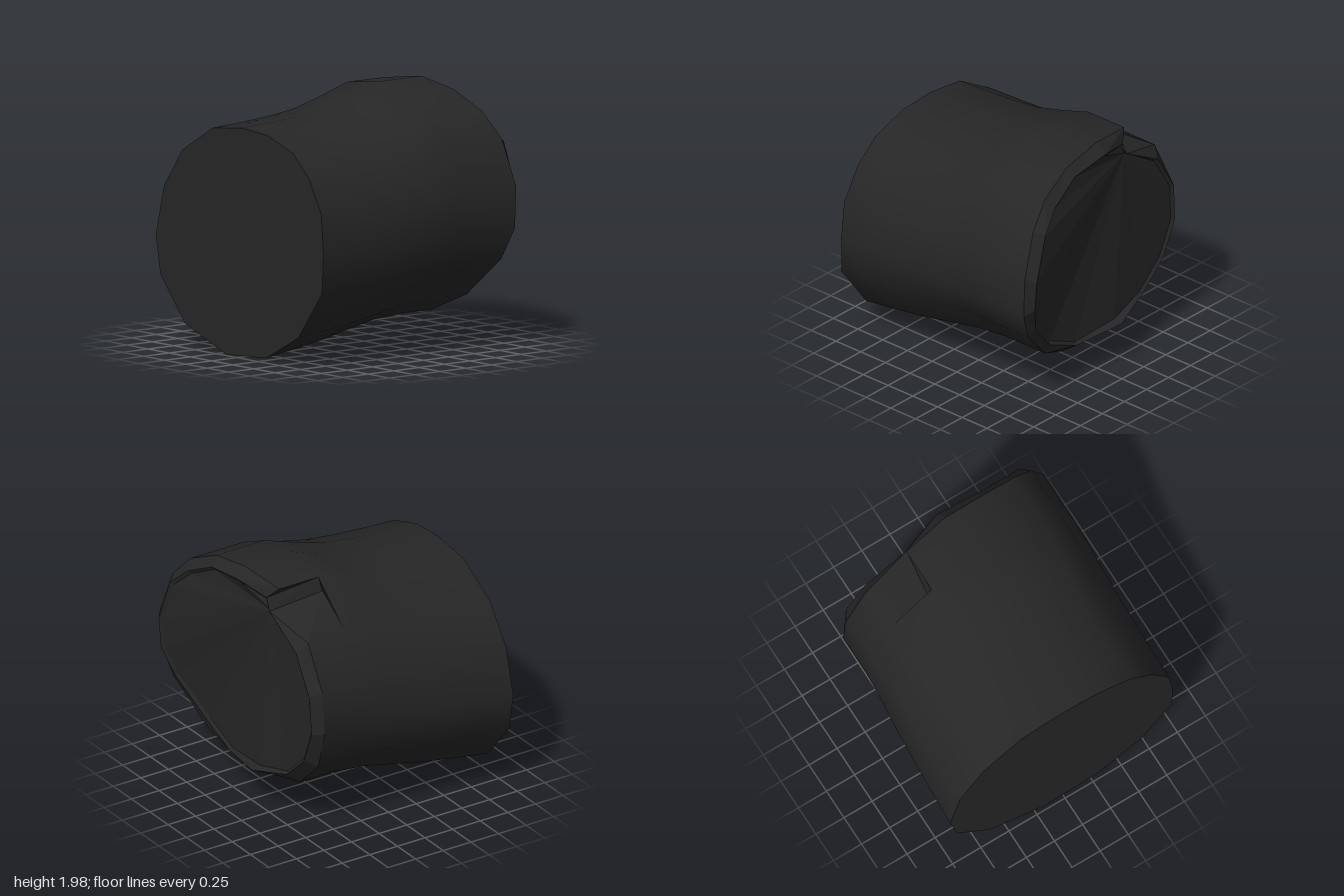
import * as THREE from 'three';

// Cross-sections run from the front (+z) over the top, as [x, y, z]
const leftEnd = [
  [-.96, 1.2, .95], [-.955, 1.46, .8], [-.95, 1.63, .6], [-.95, 1.73, .3],
  [-.95, 1.75, 0], [-.95, 1.71, -.35], [-.955, 1.5, -.7], [-.96, 1.2, -.91],
  [-.965, .82, -1], [-.97, .52, -.94], [-.97, .18, -.65], [-.97, 0, -.16],
  [-.97, .03, .31], [-.97, .23, .69], [-.97, .6, .97], [-.965, .9, .98],
];
const rightEnd = [
  [.91, 1.24, 1], [.88, 1.59, .87], [.84, 1.78, .69], [.8, 1.92, .4],
  [.78, 1.98, .04], [.72, 1.93, -.34], [.7, 1.62, -.71], [.69, 1.27, -.89],
  [.69, .93, -.92], [.67, .6, -.8], [.66, .35, -.53], [.66, .26, -.17],
  [.66, .24, .31], [.76, .38, .6], [.85, .68, .9], [.9, .92, 1],
];
const rim = [
  [.97, 1.2, .93], [.95, 1.55, .81], [.9, 1.71, .64], [.86, 1.85, .37],
  [.86, 1.9, .02], [.78, 1.84, -.26], [.78, 1.54, -.66], [.78, 1.24, -.84],
  [.77, .93, -.86], [.76, .65, -.74], [.76, .43, -.5], [.85, .35, -.17],
  [.77, .31, .26], [.78, .45, .57], [.88, .73, .84], [.95, .95, .93],
];
const N = rightEnd.length;
const GAP = 5; // side that is broken open by the notch
const crackFoot = [.35, 1.82, -.37];
const notchFoot = [.78, 1.74, -.3];

function build(points, faces, flat) {
  let geometry = new THREE.BufferGeometry();
  geometry.setAttribute('position', new THREE.Float32BufferAttribute(points.flat(), 3));
  geometry.setIndex(faces.flat());
  if (flat) geometry = geometry.toNonIndexed();
  geometry.computeVertexNormals();
  return geometry;
}

// Joins two loops of equal length, optionally leaving one side open
function strip(a, b, open = -1) {
  const n = a.length, faces = [];
  for (let i = 0; i < n; i++) {
    if (i === open) continue;
    const j = (i + 1) % n;
    faces.push([i, n + i, j], [j, n + i, n + j]);
  }
  return build([...a, ...b], faces, true);
}

function fan(points, reverse) {
  const faces = [];
  for (let i = 1; i < points.length - 1; i++) faces.push(reverse ? [0, i + 1, i] : [0, i, i + 1]);
  return build(points, faces, true);
}

// Bent smooth body, with the notch cut from its last stretch
function bodyGeometry() {
  const rings = [leftEnd];
  const stations = [[-.68, .06, .21], [-.4, .15, .43], [-.15, .3, .69], [.1, .61, .92], [.36, 1, 1]];
  for (const [x, topBlend, bottomBlend] of stations) {
    rings.push(leftEnd.map((p, i) => {
      const q = rightEnd[i];
      const f = THREE.MathUtils.lerp(bottomBlend, topBlend, THREE.MathUtils.clamp(p[1] / 1.75, 0, 1));
      return [x, p[1] + (q[1] - p[1]) * f, p[2] + (q[2] - p[2]) * f];
    }));
  }
  rings.push(rightEnd);
  const points = [...rings.flat(), crackFoot];
  const foot = points.length - 1, faces = [];
  for (let r = 0; r < rings.length - 1; r++) {
    for (let i = 0; i < N; i++) {
      const j = (i + 1) % N;
      const a = r * N + i, b = r * N + j, c = a + N, d = b + N;
      if (r === rings.length - 2 && i === GAP) faces.push([a, foot, b], [foot, d, b]);
      else faces.push([a, c, b], [b, c, d]);
    }
  }
  return { geometry: build(points, faces, false), crackTop: rings[rings.length - 2][GAP] };
}

export function createModel() {
  const group = new THREE.Group();
  const charcoal = new THREE.MeshStandardMaterial({ color: 0x262626, side: THREE.DoubleSide });
  charcoal.name = 'charcoal';
  const add = (name, geometry) => {
    const mesh = new THREE.Mesh(geometry, charcoal);
    mesh.name = name;
    group.add(mesh);
  };

  const { geometry, crackTop } = bodyGeometry();
  add('body', geometry);
  add('leftEndFace', fan(leftEnd, false));
  add('bevelledRim', strip(rightEnd, rim, GAP));

  // Slightly recessed end face, folded along a line from the notch to the bottom
  const loop = [notchFoot, ...rim.slice(GAP + 1), ...rim.slice(0, GAP + 1)];
  const face = loop.map(([x, y, z], i) => {
    const fold = Math.max(0, (z + .3) * .93 + (y - 1.74) * .365);
    return [Math.min(x - .02, .78 + .2 * fold), 1.1 + (y - 1.1) * (i ? .97 : 1), z * (i ? .97 : 1)];
  });
  add('rimStep', strip(loop, face));
  add('rightEndFace', fan(face, true));

  // Torn notch: lip wall, sloping floor and chipped edge
  const points = [crackTop, crackFoot, notchFoot, rim[GAP], rightEnd[GAP], rightEnd[GAP + 1], rim[GAP + 1]];
  add('notch', build(points, [[0, 2, 1], [0, 3, 2], [0, 4, 3], [1, 2, 5], [5, 2, 6]], true));
  return group;
}
